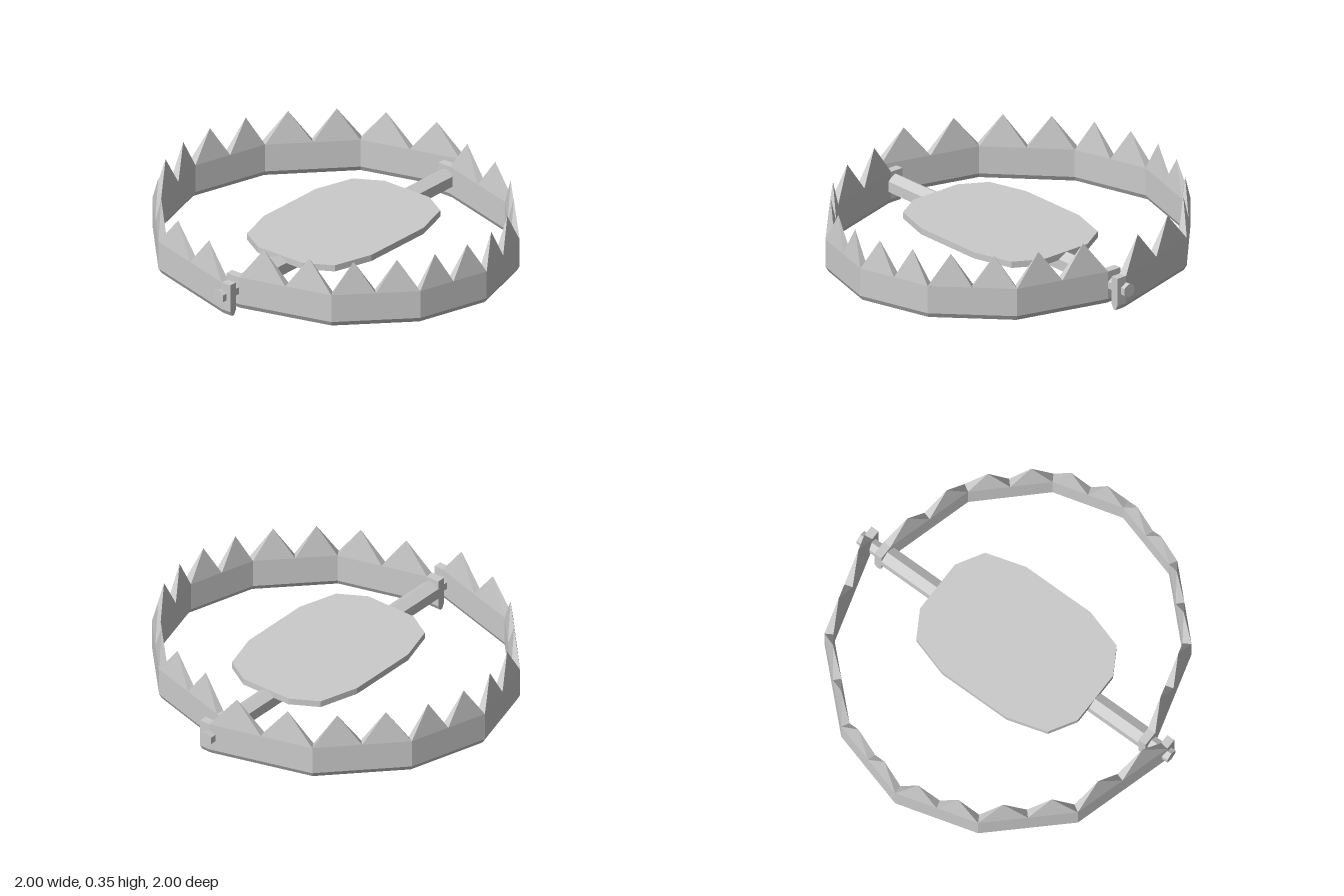
import * as THREE from 'three';

const material = new THREE.MeshStandardMaterial({ color: 0xcccccc, flatShading: true });
const THICK = 0.045, RIM = 0.18, TIP = 0.355;
const AXIS_X = 0.035, AXIS_Y = 0.105;

// Band section: inward offset and height, outer bottom up, over the rim and round the chamfers
const SECTION = [[0, 0.027], [0, RIM], [THICK, RIM], [THICK, 0.027], [THICK - 0.015, 0], [0.015, 0]];

// Toothed half ring following outer corner points [x, z]; its first and last runs are plain lugs
function jawGeometry(corners) {
  const path = [];
  corners.forEach(([x, z], i) => {
    path.push(new THREE.Vector2(x, z));
    const next = corners[i + 1];
    if (next) path.push(new THREE.Vector2((x + next[0]) / 2, (z + next[1]) / 2));
  });
  const last = path.length - 1;
  const outward = (a, b) => {
    const d = b.clone().sub(a).normalize();
    return new THREE.Vector2(-d.y, d.x);
  };
  // Mitred section at every path point
  const rings = path.map((p, i) => {
    const n1 = outward(path[Math.max(i - 1, 0)], path[Math.max(i, 1)]);
    const n2 = outward(path[Math.min(i, last - 1)], path[Math.min(i + 1, last)]);
    const m = n1.clone().add(n2).divideScalar(1 + n1.dot(n2));
    return SECTION.map(([inset, y]) => new THREE.Vector3(p.x - m.x * inset, y, p.y - m.y * inset));
  });

  const positions = [];
  const tri = (...points) => points.forEach((p) => positions.push(p.x, p.y, p.z));
  for (let i = 0; i < last; i++) {
    const a = rings[i], b = rings[i + 1];
    // Band
    a.forEach((p, k) => {
      const j = (k + 1) % a.length;
      tri(p, b[k], b[j]);
      tri(p, b[j], a[j]);
    });
    // Pyramid tooth, two to each straight run
    if (i > 1 && i < last - 2) {
      const base = [a[1], b[1], b[2], a[2]];
      const tip = new THREE.Vector3();
      base.forEach((p) => tip.addScaledVector(p, 0.25));
      tip.y = TIP;
      base.forEach((p, k) => tri(p, base[(k + 1) % 4], tip));
    }
  }
  // End caps
  for (let k = 1; k < SECTION.length - 1; k++) {
    tri(rings[0][0], rings[0][k], rings[0][k + 1]);
    tri(rings[last][0], rings[last][k + 1], rings[last][k]);
  }
  const geometry = new THREE.BufferGeometry();
  geometry.setAttribute('position', new THREE.Float32BufferAttribute(positions, 3));
  geometry.computeVertexNormals();
  return geometry;
}

// Completes a front half path with its mirror image at the back
const mirrorPath = (half) => [...half, ...half.slice(0, -1).reverse().map(([x, z]) => [x, -z])];

export function createModel() {
  const group = new THREE.Group();
  const add = (name, geometry) => {
    const mesh = new THREE.Mesh(geometry, material);
    mesh.name = name;
    group.add(mesh);
    return mesh;
  };

  // Jaws: the smaller one nests inside the lugs of the larger one
  add('innerJaw', jawGeometry(mirrorPath(
    [[-0.015, 0.872], [0.068, 0.872], [0.568, 0.73], [0.888, 0.398], [1, 0]])));
  add('outerJaw', jawGeometry(mirrorPath(
    [[0.095, 0.974], [0.035, 0.974], [-0.52, 0.815], [-0.875, 0.44], [-1, 0]]).reverse()));

  // Hexagonal bar and the thinner hinge pins through the lugs
  const hexRod = (name, radius, length, z) => {
    const geometry = new THREE.CylinderGeometry(radius, radius, length, 6);
    geometry.rotateX(Math.PI / 2);
    add(name, geometry).position.set(AXIS_X, AXIS_Y, z);
  };
  hexRod('crossBar', 0.058, 1.68, 0);
  for (const side of [1, -1]) hexRod(side > 0 ? 'frontHingePin' : 'backHingePin', 0.039, 0.2, side * 0.9);

  // Trigger plate: twelve-sided slab on the bar
  const quarter = [[0.36, 0.207], [0.295, 0.423], [0.15, 0.508]];
  const right = [...quarter.map(([x, y]) => [x, -y]).reverse(), ...quarter];
  const outline = [...right, ...right.map(([x, y]) => [-x, -y])];
  const plate = new THREE.ExtrudeGeometry(
    new THREE.Shape(outline.map(([x, y]) => new THREE.Vector2(x, y))),
    { depth: 0.035, bevelEnabled: false });
  plate.rotateX(-Math.PI / 2);
  add('triggerPlate', plate).position.set(0.04, 0.13, 0);

  return group;
}
